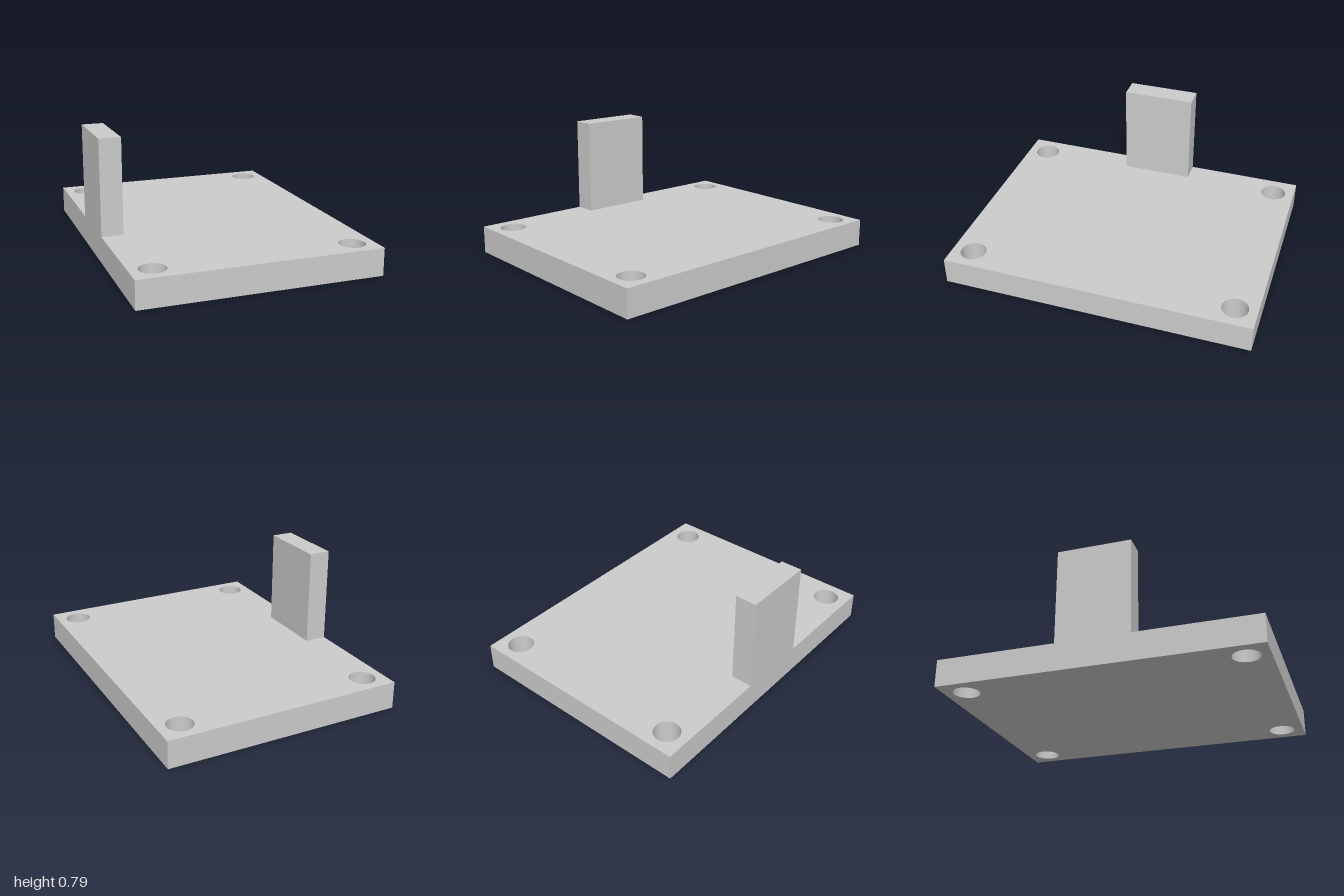
import * as THREE from 'three';
import { toCreasedNormals } from 'three/addons/utils/BufferGeometryUtils.js';

const W = 1.53, L = 2, T = 0.176;                  // plate width, length, thickness
const HOLE_X = 0.624, HOLE_Z = 0.86, HOLE_R = 0.083;
const POST_W = 0.14, POST_L = 0.47, POST_TOP = 0.794;

export function createModel() {
  const group = new THREE.Group();
  const material = new THREE.MeshStandardMaterial({ color: 0xcccccc });

  // Rectangular plate with a through hole near each corner
  const outline = new THREE.Shape([
    new THREE.Vector2(-W / 2, -L / 2),
    new THREE.Vector2(W / 2, -L / 2),
    new THREE.Vector2(W / 2, L / 2),
    new THREE.Vector2(-W / 2, L / 2),
  ]);
  for (const sx of [-1, 1]) {
    for (const sz of [-1, 1]) {
      const hole = new THREE.Path();
      hole.absarc(sx * HOLE_X, sz * HOLE_Z, HOLE_R, 0, Math.PI * 2, true);
      outline.holes.push(hole);
    }
  }
  const plateGeometry = new THREE.ExtrudeGeometry(outline, {
    depth: T, bevelEnabled: false, curveSegments: 48,
  });
  plateGeometry.rotateX(-Math.PI / 2);
  const plate = new THREE.Mesh(toCreasedNormals(plateGeometry, Math.PI / 6), material);
  plate.name = 'basePlate';
  group.add(plate);

  // Upright tab flush with the right-hand edge
  const height = POST_TOP - T;
  const tab = new THREE.Mesh(new THREE.BoxGeometry(POST_W, height, POST_L), material);
  tab.name = 'uprightTab';
  tab.position.set(-W / 2 + POST_W / 2, T + height / 2, 0);
  group.add(tab);

  return group;
}
